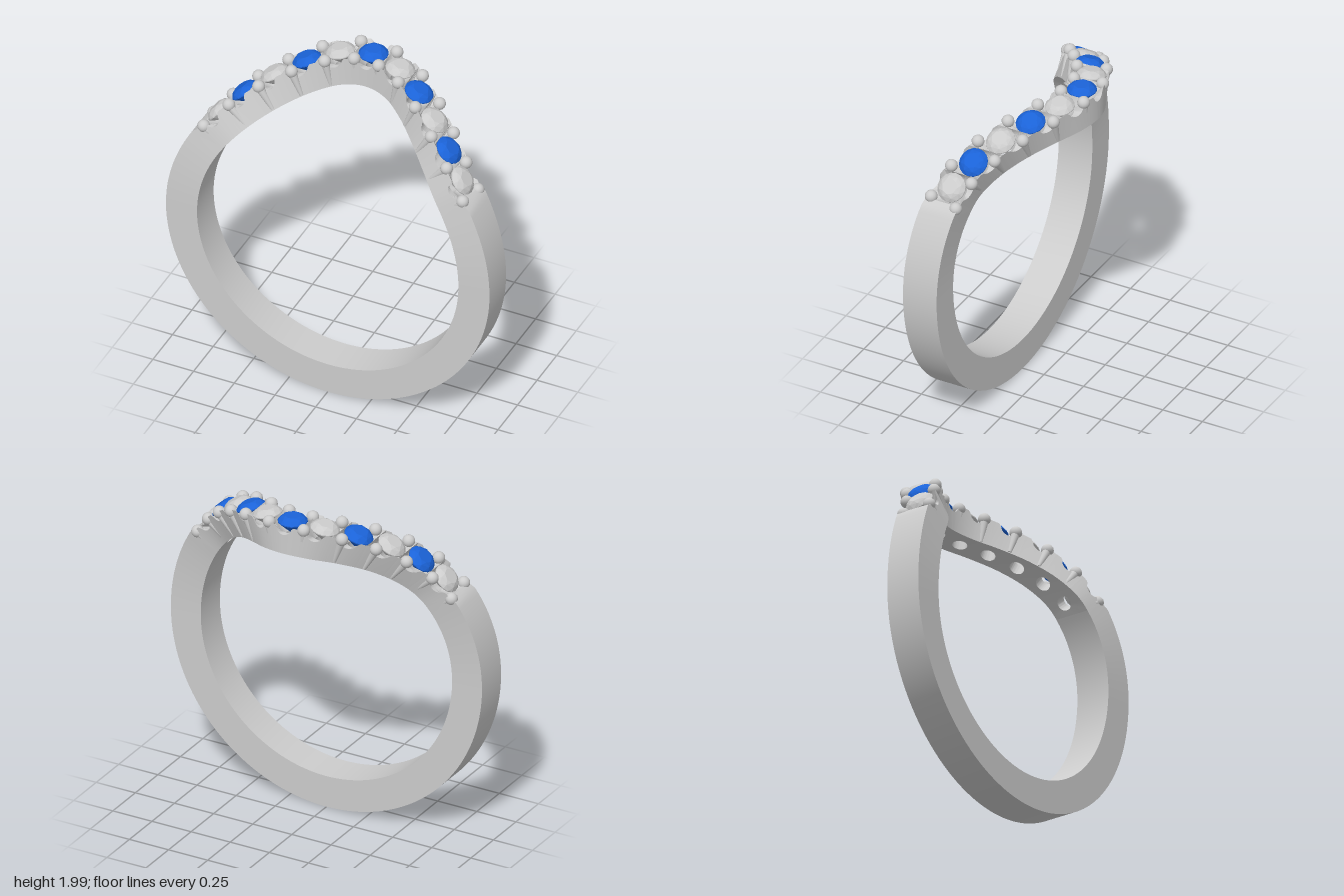
import * as THREE from 'three';
import { toCreasedNormals } from 'three/addons/utils/BufferGeometryUtils.js';
import { ConvexGeometry } from 'three/addons/geometries/ConvexGeometry.js';

const CY = 0.994, OUTER = 0.994, INNER = 0.803, HALF = 0.106;
const RAD = Math.PI / 180;
const grey = new THREE.MeshStandardMaterial({ color: 0xcccccc });
const blue = new THREE.MeshStandardMaterial({ color: 0x1b63d8 });

// Sideways sweep of the band centre line, every 10 degrees from the top (-10 to 100)
const sweep = new THREE.SplineCurve(
  [-0.207, -0.24, -0.207, -0.115, -0.005, 0.095, 0.17, 0.205, 0.225, 0.236, 0.24, 0.24]
    .map((z, i) => new THREE.Vector2(i * 10 - 10, z)));
const centreZ = (deg) => {
  const d = Math.min(Math.abs(deg > 180 ? deg - 360 : deg), 90);
  return sweep.getPoint((d + 10) / 110).y;
};
const at = (deg, z, r) => new THREE.Vector3(r * Math.sin(deg * RAD), CY + r * Math.cos(deg * RAD), z);

// Skin a row of closed loops of points
function loft(rings, closed = false) {
  const n = rings[0].length, m = rings.length, index = [];
  for (let j = 0; j < (closed ? m : m - 1); j++) {
    for (let k = 0; k < n; k++) {
      const a = j * n + k, b = j * n + (k + 1) % n;
      const c = ((j + 1) % m) * n + k, d = ((j + 1) % m) * n + (k + 1) % n;
      index.push(a, c, b, b, c, d);
    }
  }
  const g = new THREE.BufferGeometry().setFromPoints(rings.flat());
  g.setIndex(index);
  return toCreasedNormals(g, 0.5);
}

function add(parent, geometry, material, name) {
  const mesh = new THREE.Mesh(geometry, material);
  mesh.name = name;
  parent.add(mesh);
  return mesh;
}

// Plain part of the band, between the two ends of the stone row
function shank(from) {
  const rings = [], steps = 100;
  for (let i = 0; i <= steps; i++) {
    const t = from + (360 - 2 * from) * i / steps, z = centreZ(t);
    const r = i === 0 || i === steps ? 0.975 : OUTER;
    rings.push([at(t, z + HALF, r), at(t, z - HALF, r), at(t, z - HALF, INNER), at(t, z + HALF, INNER)]);
  }
  return loft(rings);
}

// One pierced setting: a block of the band with scalloped edges, a seat and a round hole
function setting(t0, t1, tc) {
  const N = 64;
  const ring = (point) => Array.from({ length: N }, (_, k) => point(k / N * Math.PI * 2));
  const circle = (rad, r) => ring((a) =>
    at(tc + rad * Math.cos(a) / r / RAD, centreZ(tc) + rad * Math.sin(a), r));
  const square = (radius) => ring((a) => {
    const c = Math.cos(a), s = Math.sin(a), k = Math.max(Math.abs(c), Math.abs(s));
    const u = c / k, v = s / k, t = t0 + (t1 - t0) * (u + 1) / 2;
    return at(t, centreZ(t) + v * HALF, radius(u, v));
  });
  const scallop = (u, v) => Math.abs(v) > 0.999
    ? 0.975 - 0.055 * Math.sqrt(Math.max(0, 1 - (u / 0.55) ** 2)) : 0.975;
  return loft([circle(0.042, INNER), square(() => INNER), square(scallop),
    circle(0.076, 0.922), circle(0.042, 0.88)], true);
}

// Faceted round stone
function stoneGeometry() {
  const pts = [new THREE.Vector3(0, -0.085, 0)];
  const ring = (n, r, y, turn) => {
    for (let i = 0; i < n; i++) {
      const a = (i + turn) / n * Math.PI * 2;
      pts.push(new THREE.Vector3(r * Math.cos(a), y, r * Math.sin(a)));
    }
  };
  ring(8, 0.045, 0.031, 0);
  ring(8, 0.067, 0.02, 0.5);
  ring(16, 0.084, 0, 0);
  ring(16, 0.084, -0.006, 0);
  return new ConvexGeometry(pts);
}

// Prong: a bead with a tapering post running down the side wall
function prong(t, side) {
  const g = new THREE.Group();
  g.name = 'prong';
  const slope = Math.atan((centreZ(t + 1) - centreZ(t - 1)) / (2 * RAD * 0.97));
  const off = 0.083 * side;
  const tt = t - off * Math.sin(slope) / 0.97 / RAD, z = centreZ(t) + off * Math.cos(slope);
  const bead = add(g, new THREE.SphereGeometry(0.036, 16, 12), grey, 'bead');
  bead.position.copy(at(tt, z, 0.967));
  const post = add(g, new THREE.CylinderGeometry(0.026, 0.012, 0.15, 12), grey, 'post');
  post.position.copy(at(tt, z, 0.885));
  post.rotation.z = -tt * RAD;
  return g;
}

export function createModel() {
  const model = new THREE.Group();
  model.name = 'ring';

  const half = [11, 21, 30.8, 40.7, 50.8];
  const angles = [...half.map((a) => -a).reverse(), 0, ...half];
  const end = 56.2;
  const bounds = [-end, ...angles.slice(1).map((a, i) => (a + angles[i]) / 2), end];

  add(model, shank(end), grey, 'shank');

  // Settings and alternating stones
  const gem = stoneGeometry();
  angles.forEach((t, i) => {
    add(model, setting(bounds[i], bounds[i + 1], t), grey, 'setting');
    const stone = add(model, gem, i % 2 ? blue : grey, i % 2 ? 'blueStone' : 'clearStone');
    stone.position.copy(at(t, centreZ(t), 0.966));
    stone.rotation.z = -t * RAD;
  });

  // Shared prongs between neighbouring stones and at both ends
  for (const t of bounds) for (const side of [-1, 1]) model.add(prong(t, side));

  return model;
}
